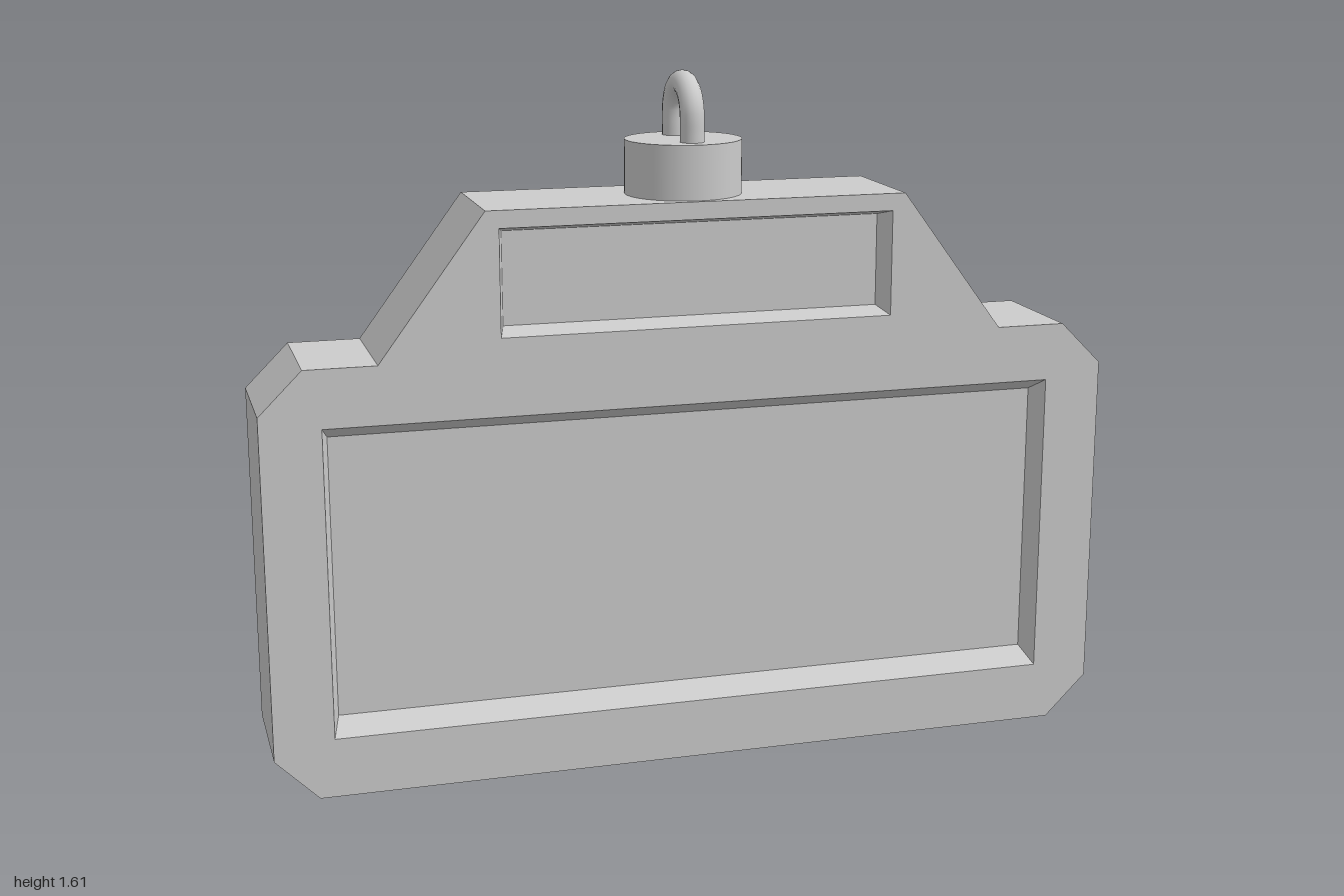
import * as THREE from 'three';
import { mergeGeometries } from 'three/addons/utils/BufferGeometryUtils.js';

const HALF = 0.147;        // half thickness of the body
const FLOOR = HALF - 0.06; // depth of the recess floors

const v2 = (x, y) => new THREE.Vector2(x, y);
const rect = (w, y0, y1) => [v2(-w, y0), v2(w, y0), v2(w, y1), v2(-w, y1)];

// Flat wall between two matching loops at different depths
function wall(front, zFront, back, zBack) {
  const pos = [];
  front.forEach((a, i) => {
    const j = (i + 1) % front.length;
    const b = back[i], c = back[j], d = front[j];
    pos.push(a.x, a.y, zFront, b.x, b.y, zBack, c.x, c.y, zBack);
    pos.push(a.x, a.y, zFront, c.x, c.y, zBack, d.x, d.y, zFront);
  });
  const g = new THREE.BufferGeometry();
  g.setAttribute('position', new THREE.Float32BufferAttribute(pos, 3));
  g.computeVertexNormals();
  return g;
}

// Flat panel facing +z, with optional holes
function panel(points, z, holes = []) {
  const shape = new THREE.Shape(points);
  shape.holes = holes.map((h) => new THREE.Path(h));
  const g = new THREE.ShapeGeometry(shape).toNonIndexed().translate(0, 0, z);
  g.deleteAttribute('uv');
  return g;
}

export function createModel() {
  const group = new THREE.Group();
  const material = new THREE.MeshStandardMaterial({ color: 0xcccccc });
  const add = (name, geometry) => {
    const mesh = new THREE.Mesh(geometry, material);
    mesh.name = name;
    group.add(mesh);
  };

  // Body: chamfered slab with a raised trapezoid on top
  const rightSide = [
    v2(0.9, 0), v2(1, 0.1), v2(1, 0.9), v2(0.9, 1), v2(0.735, 1), v2(0.49, 1.33),
  ];
  const leftSide = rightSide.map((p) => v2(-p.x, p.y)).reverse();
  const outline = [...rightSide, ...leftSide];

  // Recesses: opening and slightly smaller floor
  const recesses = [
    { name: 'mainRecess', open: rect(0.862, 0.14, 0.865), floor: rect(0.845, 0.173, 0.832) },
    { name: 'upperRecess', open: rect(0.46, 1.045, 1.29), floor: rect(0.444, 1.06, 1.275) },
  ];

  add('body', mergeGeometries([
    panel(outline, HALF, recesses.map((r) => r.open)),
    panel(outline, HALF).rotateY(Math.PI),
    wall(outline, HALF, outline, -HALF),
  ]));

  // Reversed loops make the recess walls face inwards
  for (const { name, open, floor } of recesses) {
    add(name, mergeGeometries([
      wall([...open].reverse(), HALF, [...floor].reverse(), FLOOR),
      panel(floor, FLOOR),
    ]));
  }

  // Round cap on top
  add('cap', new THREE.CylinderGeometry(0.135, 0.135, 0.125, 48).translate(0, 1.3925, 0));

  // Hanging loop: two legs joined by a half circle, in the yz plane
  const R = 0.075, arcY = 1.507;
  const path = [new THREE.Vector3(0, 1.44, R), new THREE.Vector3(0, 1.475, R)];
  for (let i = 0; i <= 12; i++) {
    const a = (i / 12) * Math.PI;
    path.push(new THREE.Vector3(0, arcY + R * Math.sin(a), R * Math.cos(a)));
  }
  path.push(new THREE.Vector3(0, 1.475, -R), new THREE.Vector3(0, 1.44, -R));
  add('hangingLoop', new THREE.TubeGeometry(new THREE.CatmullRomCurve3(path), 48, 0.028, 16));

  return group;
}
